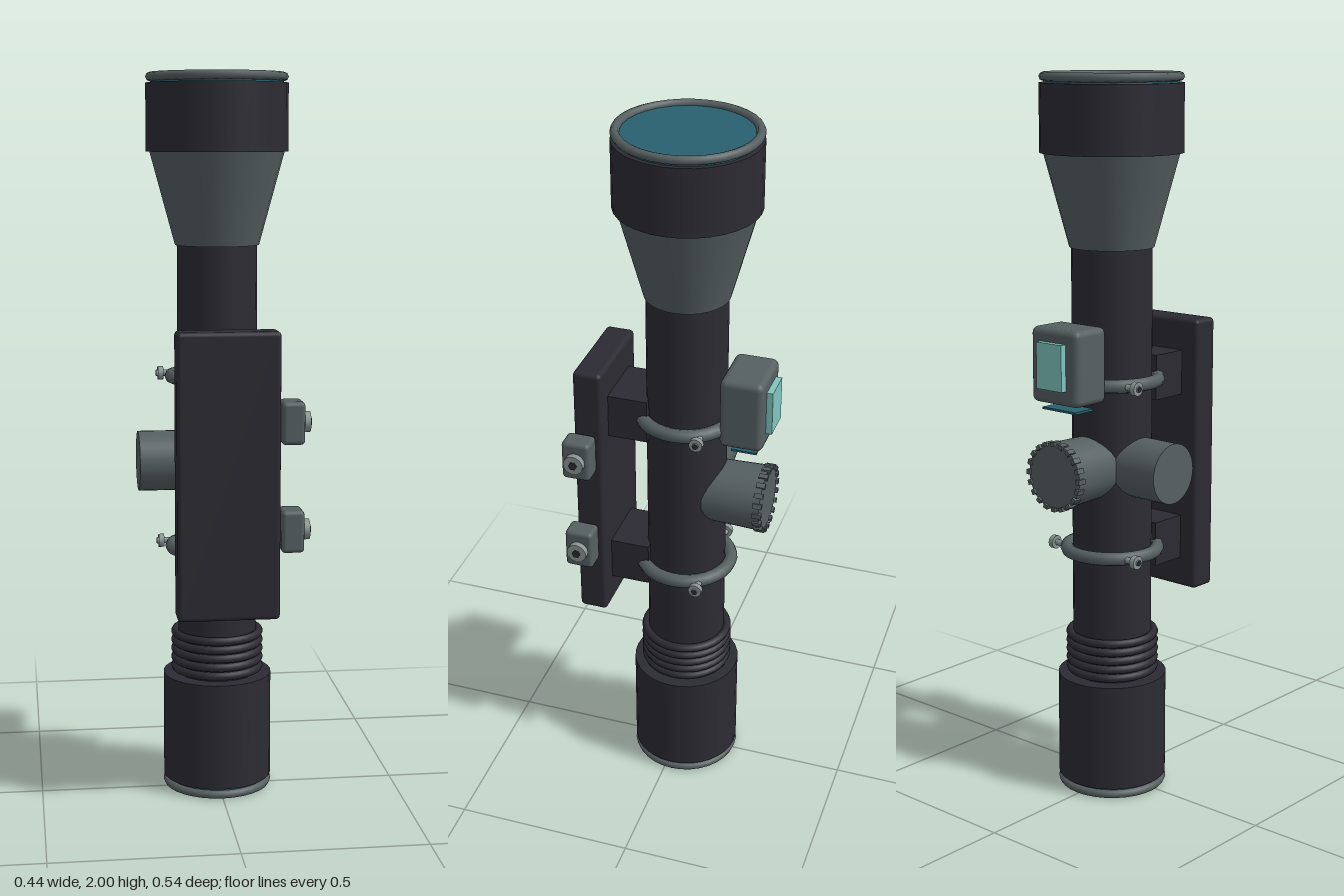
import * as THREE from 'three';
import { RoundedBoxGeometry } from 'three/addons/geometries/RoundedBoxGeometry.js';

const AXIS_Z = -0.022; // the tube axis sits slightly behind the centre

export function createModel() {
  const model = new THREE.Group();
  model.name = 'rifleScope';

  const material = (name, color) => {
    const m = new THREE.MeshStandardMaterial({ color });
    m.name = name;
    return m;
  };
  const black = material('blackBody', 0x2c2b33);
  const grey = material('greyMetal', 0x566061);
  const silver = material('silverScrew', 0x8a9694);
  const glass = material('tealGlass', 0x28606f);
  const glow = material('paleScreen', 0x80c6c0);

  const add = (name, geometry, mat, x = 0, y = 0, z = AXIS_Z) => {
    const mesh = new THREE.Mesh(geometry, mat);
    mesh.name = name;
    mesh.position.set(x, y, z);
    model.add(mesh);
    return mesh;
  };
  // Upright cylinder between two heights on the tube axis
  const barrel = (name, mat, y0, y1, r0, r1 = r0) =>
    add(name, new THREE.CylinderGeometry(r1, r0, y1 - y0, 32), mat, 0, (y0 + y1) / 2);
  // Horizontal torus around the tube axis
  const hoop = (name, mat, y, radius, tube) =>
    add(name, new THREE.TorusGeometry(radius, tube, 8, 32).rotateX(Math.PI / 2), mat, 0, y);
  // Cylinder lying along x, from x0 to x1
  const xCylinder = (name, mat, x0, x1, y, z, r, sides = 16) =>
    add(name, new THREE.CylinderGeometry(r, r, Math.abs(x1 - x0), sides).rotateZ(Math.PI / 2),
      mat, (x0 + x1) / 2, y, z);
  const roundedBox = (name, mat, w, h, d, x, y, z, r = 0.012) =>
    add(name, new RoundedBoxGeometry(w, h, d, 2, r), mat, x, y, z);

  // Main tube and objective bell
  barrel('mainTube', black, 0.3, 1.56, 0.11);
  barrel('objectiveCone', grey, 1.54, 1.79, 0.115, 0.183);
  barrel('objectiveBell', black, 1.79, 1.972, 0.193);
  barrel('objectiveLens', glass, 1.97, 1.986, 0.18);
  hoop('objectiveRim', grey, 1.988, 0.181, 0.012);

  // Eyepiece with its focus ribs
  barrel('eyepiece', black, 0.035, 0.335, 0.152);
  barrel('eyepieceLens', glass, 0.014, 0.036, 0.14);
  hoop('eyepieceRim', grey, 0.016, 0.141, 0.012);
  for (let i = 0; i < 5; i++) hoop('focusRib', black, 0.352 + i * 0.025, 0.118, 0.012);

  // Mounting rail
  roundedBox('mountRail', black, 0.276, 0.775, 0.08, 0, 0.942, 0.215);

  // Two ring mounts, each with a block and a pair of screws
  for (const [ringY, blockY] of [[1.18, 1.178], [0.7, 0.702]]) {
    add('mountBlock', new THREE.BoxGeometry(0.17, 0.125, 0.12), black, 0, blockY, 0.125);
    hoop('mountRing', grey, ringY, 0.126, 0.019);
    for (const side of [-1, 1]) {
      xCylinder('ringScrew', silver, side * 0.1, side * 0.162, ringY, -0.095, 0.009, 8);
      xCylinder('ringScrewHead', silver, side * 0.143, side * 0.158, ringY, -0.095, 0.019, 12);
      xCylinder('ringScrewSocket', black, side * 0.16, side * 0.164, ringY, -0.095, 0.008, 6);
    }
  }

  // Side clamps with bolts
  for (const y of [1.088, 0.797]) {
    roundedBox('railClamp', grey, 0.062, 0.115, 0.08, 0.169, y, 0.23);
    xCylinder('clampBolt', silver, 0.198, 0.217, y, 0.23, 0.028);
    xCylinder('clampBoltSocket', black, 0.215, 0.221, y, 0.23, 0.012, 6);
  }

  // Side turret
  xCylinder('sideTurret', grey, -0.22, -0.08, 0.945, AXIS_Z, 0.083, 32);

  // Rear turret with a knurled edge
  add('rearTurret', new THREE.CylinderGeometry(0.087, 0.092, 0.165, 32).rotateX(Math.PI / 2),
    grey, 0, 0.945, -0.172);
  const teeth = 20;
  for (let i = 0; i < teeth; i++) {
    const a = (i / teeth) * Math.PI * 2;
    const tooth = add('turretTooth', new THREE.BoxGeometry(0.012, 0.014, 0.025), grey,
      Math.cos(a) * 0.09, 0.945 + Math.sin(a) * 0.09, -0.249);
    tooth.rotation.z = a;
  }

  // Rear sight housing with its screen and lower window
  roundedBox('sightHousing', grey, 0.168, 0.205, 0.12, 0, 1.242, -0.195, 0.018);
  add('sightScreen', new THREE.BoxGeometry(0.09, 0.125, 0.018), glow, 0, 1.245, -0.263);
  add('sightWindow', new THREE.BoxGeometry(0.12, 0.006, 0.07), glass, 0, 1.122, -0.2);

  return model;
}
